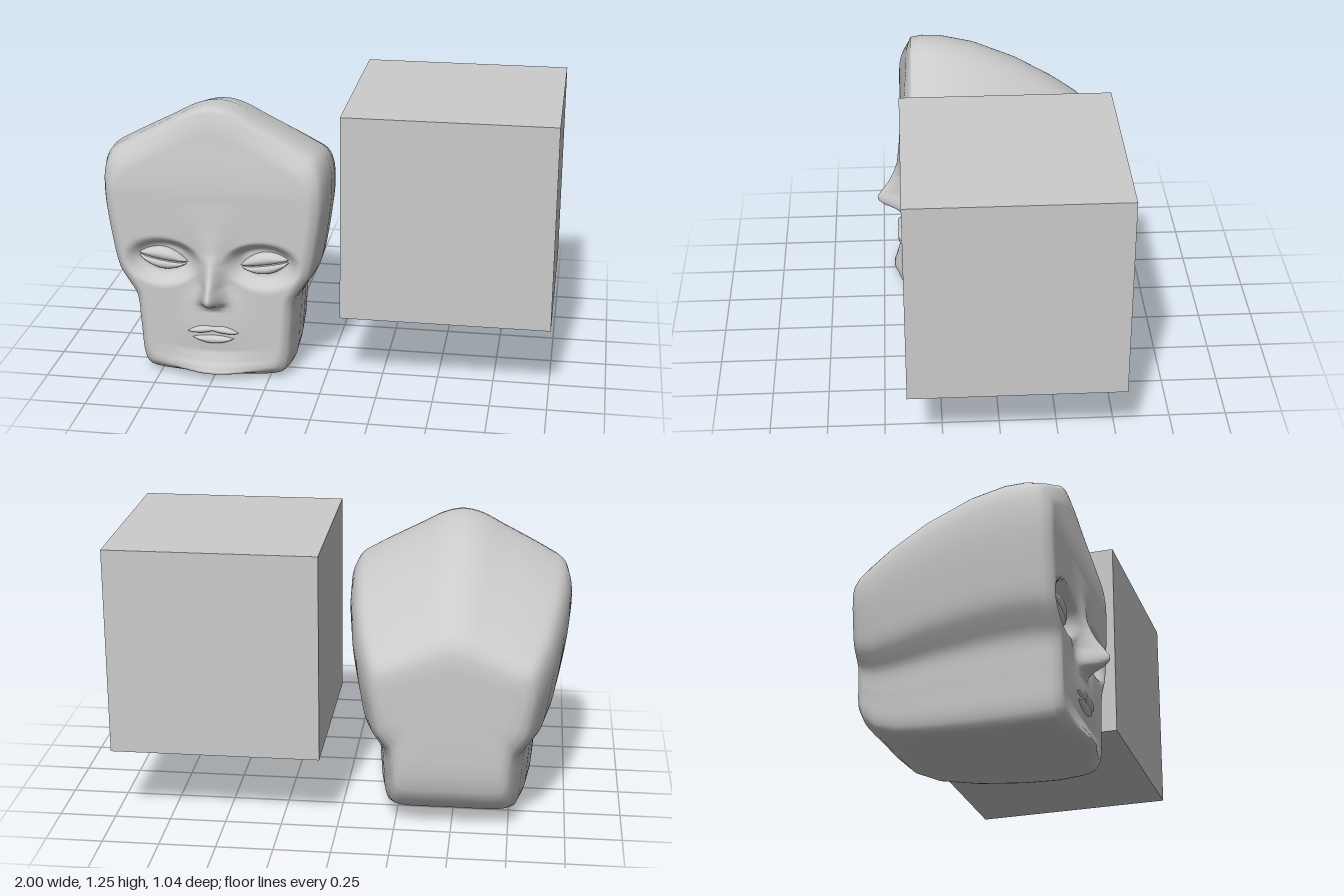
import * as THREE from 'three';

const grey = new THREE.MeshStandardMaterial({ color: 0xcccccc, side: THREE.DoubleSide });

function add(parent, geometry, name, x = 0, y = 0, z = 0) {
  const mesh = new THREE.Mesh(geometry, grey);
  mesh.name = name;
  mesh.position.set(x, y, z);
  parent.add(mesh);
  return mesh;
}

const gauss = (d, s) => Math.exp(-(d * d) / (s * s));
const { smoothstep } = THREE.MathUtils;

// Piecewise linear lookup in a list of [key, value] with rising keys
function lookup(table, k) {
  if (k <= table[0][0]) return table[0][1];
  for (let i = 1; i < table.length; i++) {
    const [k0, v0] = table[i - 1], [k1, v1] = table[i];
    if (k <= k1) return v0 + (v1 - v0) * (k - k0) / (k1 - k0);
  }
  return table[table.length - 1][1];
}

// Half outline of the head seen from the front, crown to jaw
const HALF = [[0.08, 1.24], [0.2, 1.18], [0.4, 1.075], [0.47, 1.03], [0.497, 0.97],
  [0.505, 0.85], [0.48, 0.64], [0.45, 0.5], [0.41, 0.43], [0.375, 0.37],
  [0.36, 0.22], [0.347, 0.07], [0.325, 0.02], [0.28, 0.004]];

// Sections from back to front: z, width scale, bottom, top
const SECTIONS = [
  [-0.525, 0.02, 0.56, 0.58], [-0.525, 0.5, 0.36, 0.76], [-0.522, 0.61, 0.28, 0.82],
  [-0.51, 0.68, 0.2, 0.87], [-0.48, 0.73, 0.14, 0.91], [-0.42, 0.78, 0.085, 0.96],
  [-0.32, 0.85, 0.045, 1.03], [-0.15, 0.925, 0.02, 1.13], [0.05, 0.98, 0.006, 1.215],
  [0.2, 1, 0.003, 1.25], [0.29, 0.985, 0.008, 1.255], [0.34, 0.965, 0.014, 1.245],
];
const FACE_RIM = [0.365, 0.945, 0.02, 1.225];

// Nose profile: height above the face and half width, by y
const NOSE = [[0.325, 0], [0.35, 0.02], [0.365, 0.055], [0.38, 0.095], [0.4, 0.118], [0.42, 0.12],
  [0.45, 0.1], [0.5, 0.065], [0.55, 0.04], [0.6, 0.022], [0.7, 0.01], [0.83, 0]];
const NOSE_WIDTH = [[0.36, 0.052], [0.45, 0.036], [0.55, 0.04], [0.65, 0.065], [0.8, 0.12]];
const CHIN = [[0.015, 0.03], [0.025, 0.055], [0.035, 0.068], [0.045, 0.05], [0.08, 0.02], [0.13, 0]];

// Depth of the face at a point; t runs from the centre (0) to the rim (1)
function faceDepth(x, y, t) {
  const a = Math.abs(x);
  let z = 0.4 - 0.04 * smoothstep(y, 0.85, 1.25);
  z -= 0.035 * Math.pow(Math.max(0, (t - 0.88) / 0.12), 2) * (1 - 0.6 * smoothstep(y, 0.9, 1.2));
  // eye sockets with a sharper upper edge under the brow
  const ey = y - 0.555;
  const r = Math.hypot((a - 0.225) / 0.165, ey / (ey > 0 ? 0.1 : 0.115));
  z -= 0.05 * (1 - smoothstep(r, 0.55, 1.1));
  // hollow beside the nose, then the nose itself
  z -= 0.012 * gauss(a - 0.1, 0.05) * gauss(y - 0.47, 0.1);
  z += lookup(NOSE, y) * gauss(a, lookup(NOSE_WIDTH, y));
  // muzzle and chin
  z += 0.008 * gauss(a, 0.14) * gauss(y - 0.23, 0.1);
  z += lookup(CHIN, y - 0.35 * a * a) * gauss(a, 0.17);
  return z;
}

function headGeometry() {
  const outline = [[0, 1.255], ...HALF, [0, 0], ...HALF.slice().reverse().map(([x, y]) => [-x, y])];
  const curve = new THREE.CatmullRomCurve3(
    outline.map(([x, y]) => new THREE.Vector3(x, y, 0)), true, 'centripetal');
  const N = 168, FACE = 64;
  const pts = curve.getSpacedPoints(N).slice(0, N);
  const place = (p, [, w, b, t]) => [p.x * w, b + p.y * (t - b) / 1.255];
  const pos = [], index = [];
  for (const s of SECTIONS) {
    for (const p of pts) pos.push(...place(p, s), s[0]);
  }
  // front rings shrink towards the middle of the face
  const cy = 0.52;
  for (let i = 0; i < FACE; i++) {
    const t = 1 - i / FACE;
    for (const p of pts) {
      const [x, y] = place(p, FACE_RIM);
      const fx = x * t, fy = cy + (y - cy) * t;
      pos.push(fx, fy, faceDepth(fx, fy, t));
    }
  }
  const rings = SECTIONS.length + FACE;
  for (let i = 0; i < rings - 1; i++) {
    for (let j = 0; j < N; j++) {
      const k = (j + 1) % N;
      const a = i * N + j, b = i * N + k, c = a + N, d = b + N;
      index.push(a, c, b, b, c, d);
    }
  }
  // close the middle of the face and the back
  const front = pos.length / 3;
  pos.push(0, cy, faceDepth(0, cy, 0), 0, 0.57, -0.525);
  for (let j = 0; j < N; j++) {
    const k = (j + 1) % N, last = (rings - 1) * N;
    index.push(last + j, front, last + k, j, k, front + 1);
  }
  const g = new THREE.BufferGeometry();
  g.setAttribute('position', new THREE.Float32BufferAttribute(pos, 3));
  g.setIndex(index);
  g.computeVertexNormals();
  return g;
}

// Pointed almond: a sphere narrowed towards both ends
function almond(w, h, d, bow = 0) {
  const g = new THREE.SphereGeometry(1, 32, 20);
  const p = g.attributes.position;
  for (let i = 0; i < p.count; i++) {
    const x = p.getX(i), n = Math.sqrt(Math.max(0, 1 - x * x));
    p.setXYZ(i, x * w, p.getY(i) * h * n + bow * (1 - x * x), p.getZ(i) * d);
  }
  g.computeVertexNormals();
  return g;
}

export function createModel() {
  const model = new THREE.Group();

  // Plain block beside the head
  add(model, new THREE.BoxGeometry(0.925, 0.925, 0.925), 'block', 0.5375, 0.7925, -0.0625);

  const head = new THREE.Group();
  head.name = 'head';
  head.position.x = -0.496;
  model.add(head);
  add(head, headGeometry(), 'skull');

  // Half closed eyes, each with an upper and a lower lid
  for (const s of [-1, 1]) {
    const eye = new THREE.Group();
    eye.name = s > 0 ? 'leftEye' : 'rightEye';
    eye.position.set(s * 0.232, 0.55, 0.352);
    eye.rotation.z = s * 0.16;
    head.add(eye);
    add(eye, almond(0.112, 0.03, 0.036, 0.018), 'upperLid', 0, 0.006, 0);
    add(eye, almond(0.108, 0.026, 0.032, -0.016), 'lowerLid', 0, -0.006, 0);
    add(eye, almond(0.1, 0.03, 0.024), 'eyeball');
  }

  // Lips: a bowed upper pair and a fuller lower one
  for (const s of [-1, 1]) {
    const lip = add(head, almond(0.072, 0.016, 0.022, 0.004), 'upperLip', s * 0.045, 0.235, 0.405);
    lip.rotation.z = -s * 0.13;
  }
  add(head, almond(0.095, 0.02, 0.022, -0.006), 'lowerLip', 0, 0.198, 0.404);

  return model;
}
